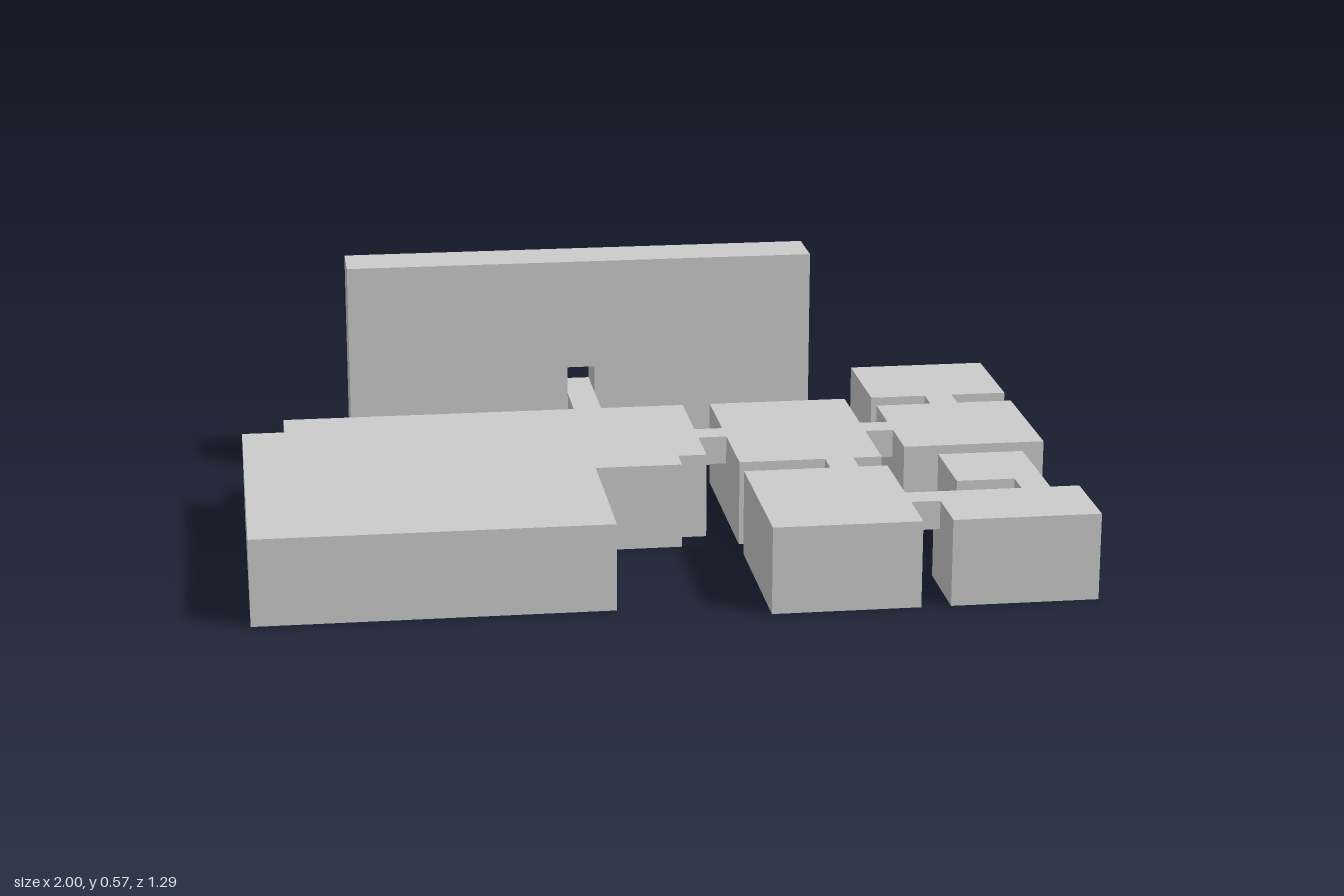
import * as THREE from 'three';

const U = 1 / 14; // layout grid unit
const HEIGHT = 3; // height of all low blocks, in grid units

export function createModel() {
  const model = new THREE.Group();
  const material = new THREE.MeshStandardMaterial({ color: 0xcccccc, flatShading: true });

  const add = (name, geometry) => {
    geometry.scale(U, U, U);
    const mesh = new THREE.Mesh(geometry, material);
    mesh.name = name;
    model.add(mesh);
  };

  // Box given by its extents in grid units
  const block = (name, [x0, x1], [z0, z1], y0 = 0, y1 = HEIGHT) =>
    add(name, new THREE.BoxGeometry(x1 - x0, y1 - y0, z1 - z0)
      .translate((x0 + x1) / 2, (y0 + y1) / 2, (z0 + z1) / 2));

  const outline = (points) => points.map(([x, y]) => new THREE.Vector2(x, y));

  // Large hall with stepped corners, drawn in plan as [x, z]
  const plan = [
    [-14, 8], [-2, 8], [-2, 2], [1, 2], [1, 1], [2, 1],
    [2, -5], [-12.5, -5], [-12.5, -3.5], [-14, -3.5],
  ].map(([x, z]) => [x, -z]);
  add('mainHall', new THREE.ExtrudeGeometry(new THREE.Shape(outline(plan)),
    { depth: HEIGHT, bevelEnabled: false }).rotateX(-Math.PI / 2));

  // Tall back wall with a square opening
  const wall = new THREE.Shape(outline([[-10, 0], [7, 0], [7, 8], [-10, 8]]));
  wall.holes.push(new THREE.Path(outline([[-2, 3], [-2, 4], [-1, 4], [-1, 3]])));
  add('backWall', new THREE.ExtrudeGeometry(wall, { depth: 2, bevelEnabled: false })
    .translate(0, 0, -9));

  // Rooms
  block('centreRoom', [3, 8], [-5, 2]);
  block('leftRoom', [9, 14], [-4, 1]);
  block('backLeftRoom', [9, 14], [-9, -5]);
  block('frontRoom', [3, 8], [3, 9]);
  block('frontLeftRoom', [9, 14], [6, 9]);
  block('smallRoom', [10, 13], [2, 5]);

  // Thin bridges joining the rooms, flush with their tops
  const bridges = {
    wallBridge: [[-2, -1], [-7, -5]],
    hallBridge: [[2, 3], [-2, -1]],
    leftBridge: [[8, 9], [-2, -1]],
    backLeftBridge: [[11, 12], [-5, -4]],
    frontBridge: [[6, 7], [2, 3]],
    frontLeftBridge: [[8, 9], [6, 7]],
    smallBridge: [[12, 13], [5, 6]],
  };
  for (const [name, [x, z]] of Object.entries(bridges)) block(name, x, z, 2, HEIGHT);

  return model;
}
